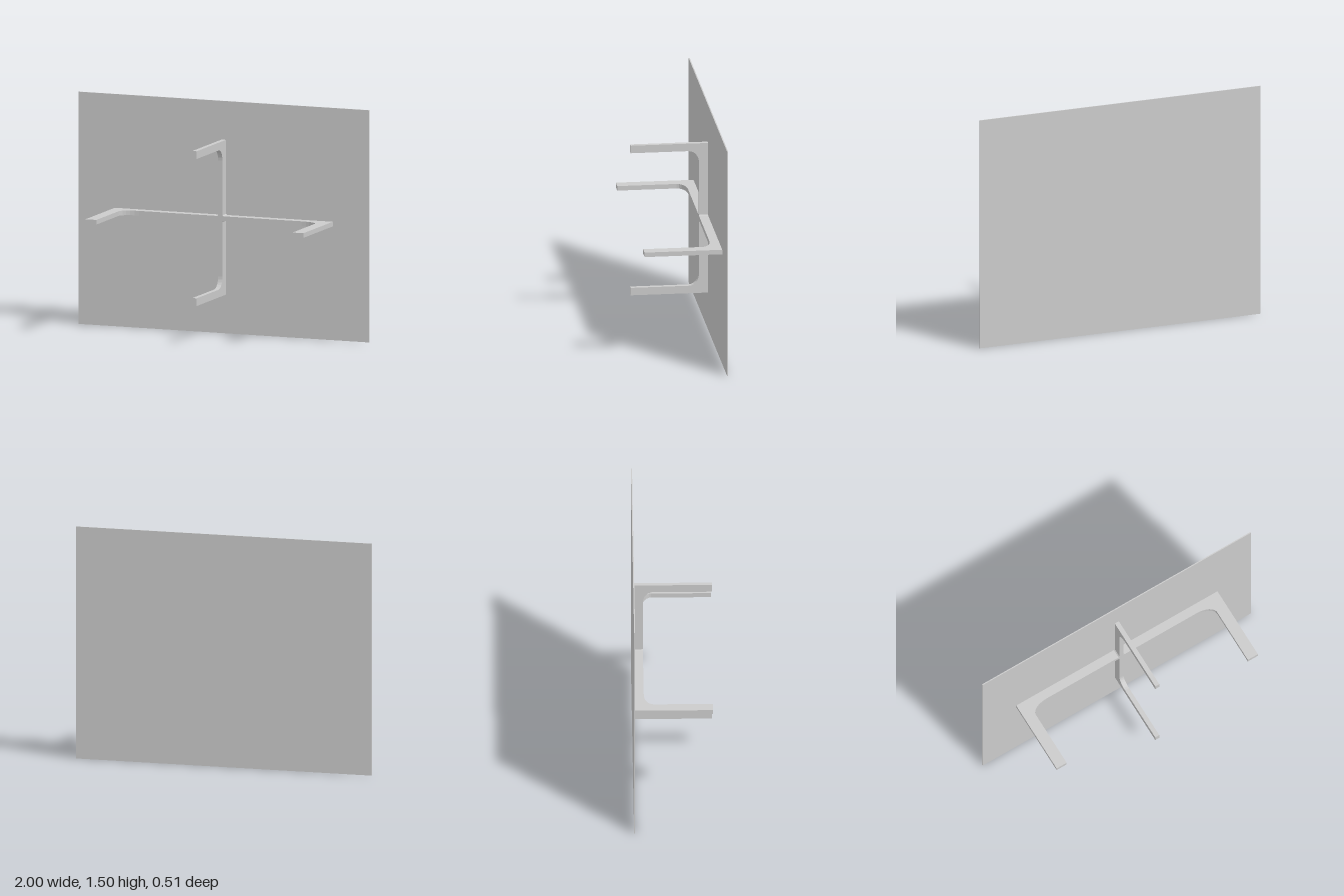
import * as THREE from 'three';

const grey = new THREE.MeshStandardMaterial({ color: 0xcccccc, flatShading: true });
const BACK = -0.25, FRONT = 0.253, INNER = -0.187, BAR = 0.03, MID_Y = 0.75;

// U-shaped bracket outline in (span, z), with an elliptical fillet in each inner corner
function bracketGeometry(half, armWidth, filletSpan, filletDepth) {
  const inner = half - armWidth;
  const side = [];
  for (let i = 0; i <= 6; i++) {
    const a = (i / 6) * Math.PI / 2;
    side.push(new THREE.Vector2(
      inner - filletSpan * (1 - Math.cos(a)),
      INNER + filletDepth * (1 - Math.sin(a))
    ));
  }
  const right = [new THREE.Vector2(half, BACK), new THREE.Vector2(half, FRONT),
    new THREE.Vector2(inner, FRONT), ...side];
  const left = right.map(p => new THREE.Vector2(-p.x, p.y)).reverse();
  const geometry = new THREE.ExtrudeGeometry(new THREE.Shape([...right, ...left]),
    { depth: BAR, bevelEnabled: false });
  geometry.translate(0, 0, -BAR / 2);
  geometry.rotateX(Math.PI / 2); // outline depth becomes z
  return geometry;
}

export function createModel() {
  const group = new THREE.Group();
  const add = (name, geometry, x = 0, y = 0, z = 0) => {
    const mesh = new THREE.Mesh(geometry, grey);
    mesh.name = name;
    mesh.position.set(x, y, z);
    group.add(mesh);
  };

  // Thin upright sheet
  add('backPanel', new THREE.BoxGeometry(2, 1.5, 0.007), 0, MID_Y, -0.2495);

  // Crossed brackets
  add('horizontalBracket', bracketGeometry(0.75, 0.075, 0.115, 0.06), 0, MID_Y);
  add('verticalBracket', bracketGeometry(0.5, 0.05, 0.075, 0.067).rotateZ(Math.PI / 2), 0, MID_Y);

  // Small chamfered web where the brackets cross
  const web = new THREE.CylinderGeometry(0.037, 0.037, INNER - BACK, 4).rotateX(Math.PI / 2);
  add('crossingWeb', web, 0, MID_Y, (INNER + BACK) / 2);

  return group;
}
